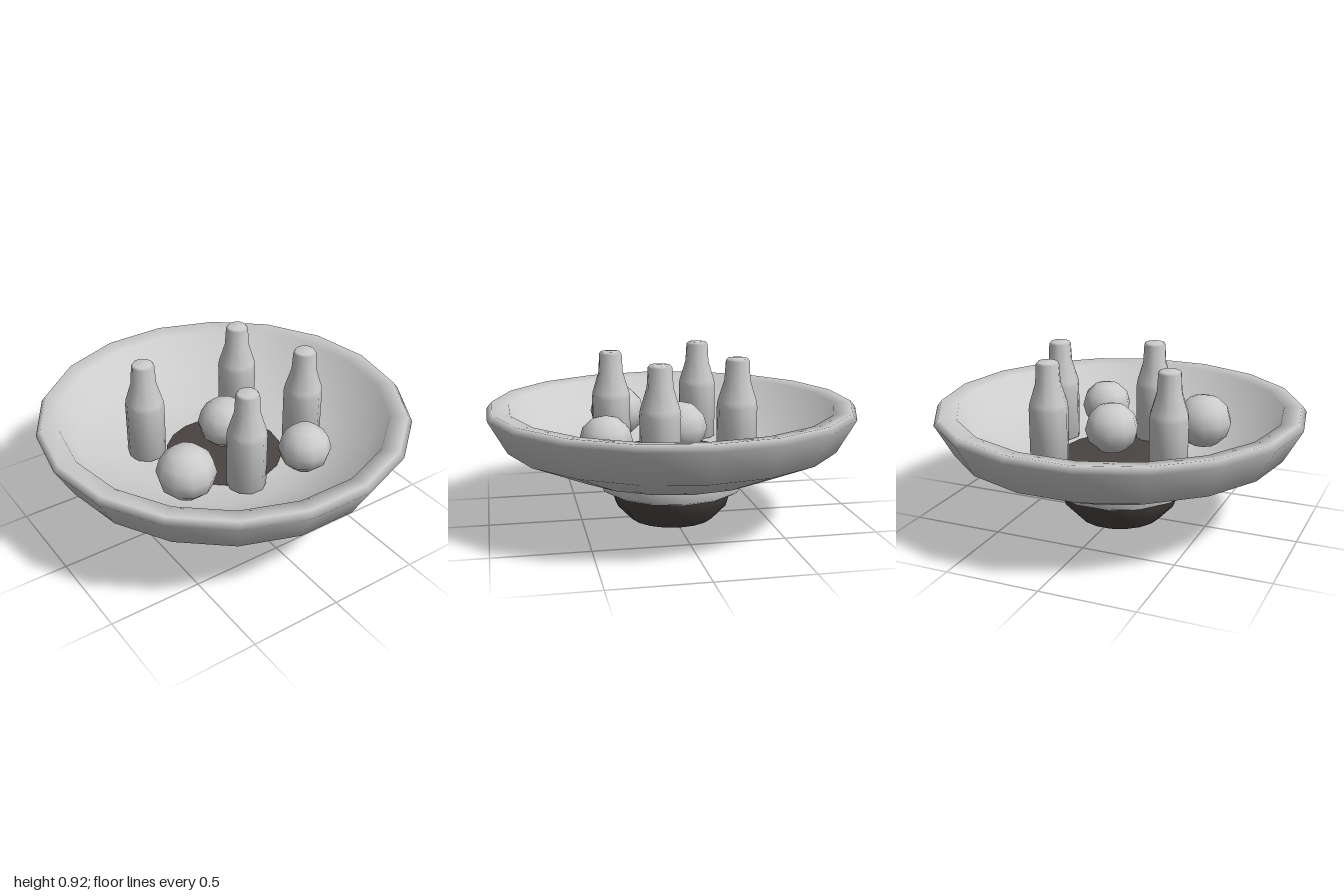
import * as THREE from 'three';

export function createModel() {
  const model = new THREE.Group();
  const light = new THREE.MeshStandardMaterial({ color: 0xcccccc });
  light.name = 'pale grey';
  const dark = new THREE.MeshStandardMaterial({ color: 0x4a4543, side: THREE.DoubleSide });
  dark.name = 'dark brown grey';

  // Turned part from [radius, height] points, with corners on the x axis
  function turned(name, profile, sides, material, x = 0, z = 0) {
    const points = profile.map(([r, y]) => new THREE.Vector2(r, y));
    const mesh = new THREE.Mesh(new THREE.LatheGeometry(points, sides), material);
    mesh.name = name;
    mesh.rotation.y = Math.PI / 2;
    mesh.position.set(x, 0, z);
    model.add(mesh);
  }

  // Wide shallow bowl: underside, outer wall, broad rim, inner wall, floor
  turned('bowl', [
    [0, 0.285], [0.572, 0.285], [0.9, 0.43], [1, 0.608], [0.975, 0.641],
    [0.88, 0.628], [0.79, 0.475], [0.5, 0.362], [0.3, 0.345], [0, 0.345],
  ], 18, light);

  // Dark disc set into the bowl floor
  turned('floorDisc', [[0.318, 0.335], [0.318, 0.358], [0, 0.364]], 18, dark);

  // Hollow collar under the bowl
  turned('collar', [
    [0.315, 0.163], [0.365, 0.163], [0.394, 0.18], [0.394, 0.262], [0.375, 0.278],
    [0.315, 0.278], [0.315, 0.163],
  ], 14, light);

  // Neck joining collar and bowl
  turned('neck', [[0.32, 0.27], [0.32, 0.29]], 18, dark);

  // Hollow foot, open at the bottom
  turned('foot', [[0.232, 0], [0.312, 0.085], [0.335, 0.165]], 18, dark);

  // Bottles standing in the bowl
  const bottle = [
    [0, 0.36], [0.104, 0.36], [0.105, 0.66], [0.101, 0.69],
    [0.067, 0.8], [0.061, 0.9], [0.052, 0.912], [0, 0.917],
  ];
  [[-0.36, -0.22], [0.285, -0.29], [0.425, 0.14], [-0.075, 0.32]].forEach(
    ([x, z], i) => turned(`bottle${i + 1}`, bottle, 10, light, x, z));

  // Slightly flattened round fruit between the bottles
  [[-0.395, 0.517, 0.245, 0.157], [0.25, 0.5, 0.39, 0.141], [0.033, 0.507, -0.04, 0.148]].forEach(
    ([x, y, z, r], i) => {
      const ball = new THREE.Mesh(new THREE.SphereGeometry(r, 10, 6), light);
      ball.name = `fruit${i + 1}`;
      ball.scale.y = 0.94;
      ball.position.set(x, y, z);
      model.add(ball);
    });

  return model;
}
